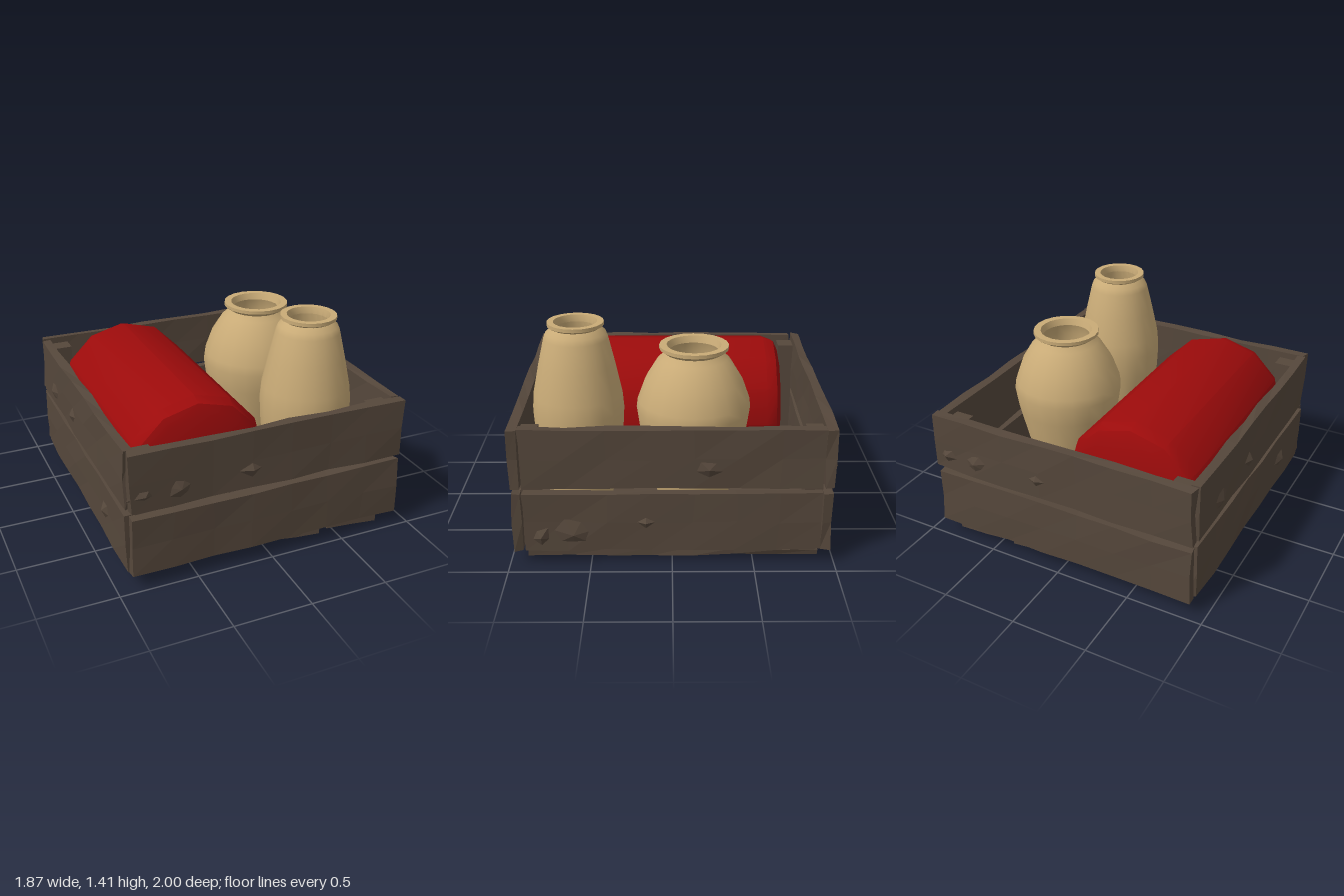
import * as THREE from 'three';
import { toCreasedNormals } from 'three/addons/utils/BufferGeometryUtils.js';

const wood = new THREE.MeshStandardMaterial({ color: 0x55473b });
wood.name = 'dark wood';
const clay = new THREE.MeshStandardMaterial({ color: 0xc9ab77 });
clay.name = 'tan clay';
const red = new THREE.MeshStandardMaterial({ color: 0x9c0b0b, side: THREE.DoubleSide });
red.name = 'red paint';

function add(parent, name, geometry, material, x = 0, y = 0, z = 0) {
  const mesh = new THREE.Mesh(geometry, material);
  mesh.name = name;
  mesh.position.set(x, y, z);
  parent.add(mesh);
  return mesh;
}

// Repeatable value from -1 to 1 for a position, so shared corners move together
function noise(x, y, z, seed) {
  const s = Math.sin(x * 127.1 + y * 311.7 + z * 74.7 + seed * 53.3) * 43758.5453;
  return (s - Math.floor(s)) * 2 - 1;
}

function faceted(geometry) {
  const g = geometry.toNonIndexed();
  g.computeVertexNormals();
  return g;
}

// Rough-hewn board: a box with slightly shifted corners
function boardGeometry(w, h, d, seed, nx = 1, ny = 1, nz = 1) {
  const g = new THREE.BoxGeometry(w, h, d, nx, ny, nz);
  const p = g.attributes.position;
  for (let i = 0; i < p.count; i++) {
    const [x, y, z] = [p.getX(i), p.getY(i), p.getZ(i)].map((v) => Math.round(v * 1000) / 1000);
    p.setXYZ(i,
      x + 0.010 * noise(x, y, z, seed),
      y + 0.007 * noise(x, y, z, seed + 1),
      z + 0.006 * noise(x, y, z, seed + 2));
  }
  return faceted(g);
}

// Jagged low knot that faces +z
function knotGeometry(rx, ry, height, sides, seed) {
  const g = new THREE.ConeGeometry(1, height, sides, 1, true);
  g.rotateX(Math.PI / 2);
  const p = g.attributes.position;
  for (let i = 0; i < p.count; i++) {
    const x = Math.round(p.getX(i) * 100) / 100, y = Math.round(p.getY(i) * 100) / 100;
    const k = 1 + 0.3 * noise(x + 0, y + 0, 0, seed);
    p.setXY(i, x * rx * k, y * ry * k);
  }
  return faceted(g);
}

// Wall of two boards; knots are [across, height, radius x, radius y, sides]
function wall(crate, name, angle, distance, knots, seed) {
  const g = new THREE.Group();
  g.name = name;
  g.rotation.y = angle;
  add(g, 'lowerBoard', boardGeometry(1.81, 0.385, 0.06, seed, 7, 2, 1), wood, 0, 0.297, distance);
  add(g, 'upperBoard', boardGeometry(1.81, 0.38, 0.06, seed + 5, 7, 2, 1), wood, 0, 0.72, distance);
  knots.forEach(([u, y, rx, ry, sides], i) =>
    add(g, 'woodKnot', knotGeometry(rx, ry, 0.04, sides, seed + i), wood, u, y, distance + 0.036));
  crate.add(g);
}

function buildCrate() {
  const crate = new THREE.Group();
  crate.name = 'crate';
  const longKnots = [[-0.6, 0.64, 0.12, 0.1, 7], [-0.82, 0.64, 0.09, 0.06, 5], [-0.14, 0.66, 0.1, 0.08, 4]];
  wall(crate, 'frontWall', 0, 0.942, longKnots, 1);
  wall(crate, 'backWall', Math.PI, 0.942, longKnots, 21);
  wall(crate, 'leftWall', Math.PI / 2, 0.872,
    [[-0.6, 0.22, 0.13, 0.11, 7], [-0.8, 0.2, 0.08, 0.08, 5], [-0.16, 0.3, 0.09, 0.06, 4], [0.22, 0.66, 0.12, 0.08, 5]], 41);
  wall(crate, 'rightWall', -Math.PI / 2, 0.89,
    [[-0.6, 0.64, 0.12, 0.1, 7], [-0.14, 0.66, 0.1, 0.08, 4], [0.5, 0.3, 0.09, 0.07, 5]], 61);

  // Square posts in the corners
  for (const x of [-0.795, 0.78]) {
    for (const z of [-0.86, 0.86]) {
      add(crate, 'cornerPost', new THREE.BoxGeometry(0.13, 0.76, 0.11), wood, x, 0.49, z);
    }
  }

  // Floor boards: [centre x, centre y, tilt]
  const floor = [[-0.66, 0.12, 0.02], [-0.23, 0.125, 0], [0.205, 0.07, -0.09], [0.63, 0.055, -0.08]];
  floor.forEach(([x, y, tilt], i) => {
    const board = add(crate, 'floorBoard', boardGeometry(0.385, 0.05, 1.81, 80 + i * 4, 2, 1, 7), wood, x, y, 0);
    board.rotation.z = tilt;
  });
  const topKnot = add(crate, 'floorKnot', knotGeometry(0.08, 0.1, 0.04, 6, 95), wood, 0.72, 0.08, 0.66);
  topKnot.rotation.x = -Math.PI / 2;
  for (const [x, y, z] of [[0.6, 0.034, -0.62], [-0.7, 0.1, 0.6], [-0.25, 0.1, -0.3]]) {
    const knot = add(crate, 'floorKnot', knotGeometry(0.1, 0.12, 0.03, 6, 97), wood, x, y, z);
    knot.rotation.x = Math.PI / 2;
  }
  return crate;
}

// Vase turned from its outer wall, flared lip, and hollow mouth
function vase(name, profile, x, z) {
  const points = profile.map(([r, y]) => new THREE.Vector2(r, y));
  const g = toCreasedNormals(new THREE.LatheGeometry(points, 20), 0.6);
  const mesh = new THREE.Mesh(g, clay);
  mesh.name = name;
  mesh.position.set(x, 0, z);
  return mesh;
}

export function createModel() {
  const model = new THREE.Group();
  model.name = 'crateWithJars';
  model.add(buildCrate());

  // Twelve-sided drum lying along z, open along its underside
  const drumProfile = [[0, -0.75], [0.38, -0.75], [0.443, -0.72], [0.47, -0.65],
    [0.47, 0.65], [0.443, 0.72], [0.38, 0.75], [0, 0.75]];
  const drum = new THREE.LatheGeometry(
    drumProfile.map(([r, y]) => new THREE.Vector2(r, y)), 8, Math.PI / 3, Math.PI * 4 / 3);
  drum.rotateX(Math.PI / 2);
  add(model, 'redDrum', toCreasedNormals(drum, 0.55), red, -0.38, 0.58, 0);

  model.add(vase('tallVase', [[0, 0.12], [0.18, 0.12], [0.25, 0.5], [0.28, 0.7], [0.289, 0.86], [0.28, 0.96],
    [0.24, 1.15], [0.2, 1.32], [0.185, 1.355], [0.15, 1.385], [0.175, 1.4], [0.175, 1.422],
    [0.135, 1.422], [0.125, 1.38], [0.15, 1.3], [0.15, 1.22], [0, 1.22]], 0.41, 0.59));
  model.add(vase('wideVase', [[0, 0.12], [0.2, 0.12], [0.29, 0.5], [0.34, 0.72], [0.36, 0.86], [0.352, 0.92],
    [0.305, 1.05], [0.235, 1.165], [0.21, 1.19], [0.18, 1.225], [0.216, 1.25], [0.216, 1.272],
    [0.17, 1.272], [0.155, 1.23], [0.18, 1.16], [0.18, 1.07], [0, 1.07]], 0.413, -0.137));
  return model;
}
